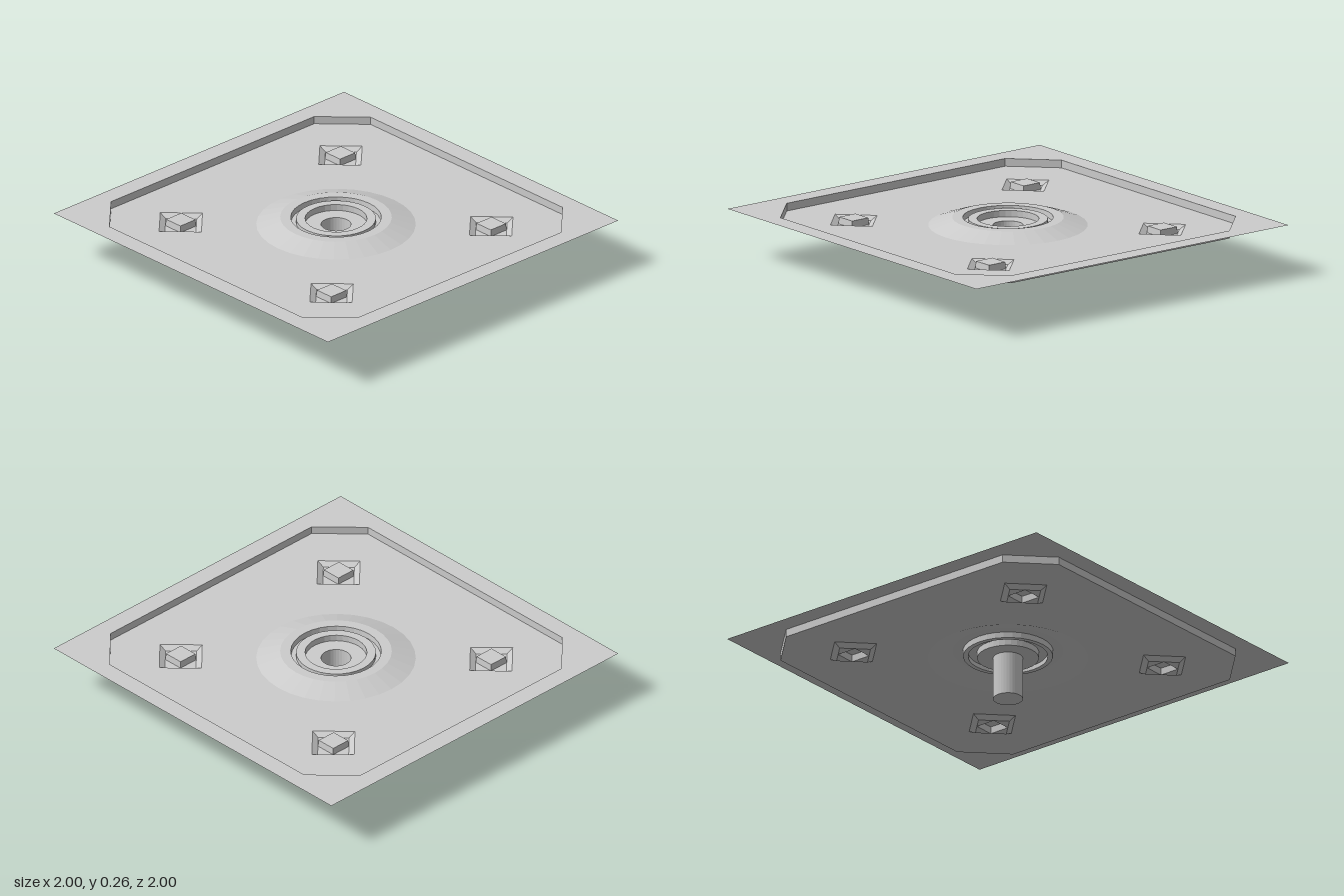
import * as THREE from 'three';

const RIM = 0.265, FLOOR = 0.225, POCKET = 0.205, SEGMENTS = 32;

const material = new THREE.MeshStandardMaterial({
  color: 0xcccccc, flatShading: true, side: THREE.DoubleSide,
});

// Regular polygon as a list of 2D points
function ring(n, r, turn = 0, cx = 0, cz = 0) {
  return Array.from({ length: n }, (_, i) => {
    const a = turn + (i / n) * Math.PI * 2;
    return new THREE.Vector2(cx + r * Math.cos(a), cz + r * Math.sin(a));
  });
}

function named(name, geometry) {
  const mesh = new THREE.Mesh(geometry, material);
  mesh.name = name;
  return mesh;
}

// Horizontal sheet at height y, facing up, with cut-outs
function sheet(name, outline, y, holes = []) {
  const shape = new THREE.Shape(outline);
  for (const h of holes) shape.holes.push(new THREE.Path(h));
  const geometry = new THREE.ShapeGeometry(shape);
  geometry.rotateX(-Math.PI / 2).translate(0, y, 0);
  return named(name, geometry);
}

// Band of quads joining an upper loop to a lower loop
function wall(name, upper, yUpper, lower, yLower) {
  const positions = [], n = upper.length;
  for (let i = 0; i < n; i++) {
    const j = (i + 1) % n;
    const a = [upper[i].x, yUpper, -upper[i].y], b = [upper[j].x, yUpper, -upper[j].y];
    const c = [lower[i].x, yLower, -lower[i].y], d = [lower[j].x, yLower, -lower[j].y];
    positions.push(...a, ...b, ...c, ...b, ...d, ...c);
  }
  const geometry = new THREE.BufferGeometry();
  geometry.setAttribute('position', new THREE.Float32BufferAttribute(positions, 3));
  geometry.computeVertexNormals();
  return named(name, geometry);
}

// Diamond pocket with a raised square stud in its floor
function createPocket(x, z) {
  const pocket = new THREE.Group();
  pocket.name = 'pocket';
  const mouth = ring(4, 0.15), base = ring(4, 0.11);
  const studBase = ring(4, 0.0775, Math.PI / 4), studTop = ring(4, 0.0735, Math.PI / 4);
  pocket.add(
    wall('pocketSlope', mouth, FLOOR, base, POCKET),
    sheet('pocketFloor', base, POCKET, [studBase]),
    wall('studSides', studTop, 0.24, studBase, POCKET),
    sheet('studTop', studTop, 0.24),
  );
  pocket.position.set(x, 0, z);
  return pocket;
}

export function createModel() {
  const model = new THREE.Group();
  model.name = 'pressedPlate';

  // Square rim around the recessed, chamfered tray
  const square = ring(4, Math.SQRT2, Math.PI / 4);
  const octagon = [
    [0.9, -0.7], [0.9, 0.7], [0.7, 0.9], [-0.7, 0.9],
    [-0.9, 0.7], [-0.9, -0.7], [-0.7, -0.9], [0.7, -0.9],
  ].map(([x, z]) => new THREE.Vector2(x, z));
  model.add(sheet('rim', square, RIM, [octagon]));
  model.add(wall('trayWall', octagon, RIM, octagon, FLOOR));

  // Tray floor, with openings for the pockets and the centre boss
  const openings = [ring(SEGMENTS, 0.4)];
  for (const x of [-0.55, 0.55]) {
    for (const z of [-0.55, 0.55]) {
      openings.push(ring(4, 0.15, 0, x, -z));
      model.add(createPocket(x, z));
    }
  }
  model.add(sheet('trayFloor', octagon, FLOOR, openings));

  // Conical boss with a ring groove, a ridge and a closed tubular stem
  const profile = [
    [0.4, FLOOR], [0.28, RIM], [0.227, RIM], [0.225, 0.235], [0.2, 0.235],
    [0.2, 0.258], [0.155, 0.258], [0.155, FLOOR], [0.075, FLOOR], [0.075, 0], [0, 0],
  ].map(([r, y]) => new THREE.Vector2(r, y));
  model.add(named('bossAndStem', new THREE.LatheGeometry(profile, SEGMENTS)));

  return model;
}
